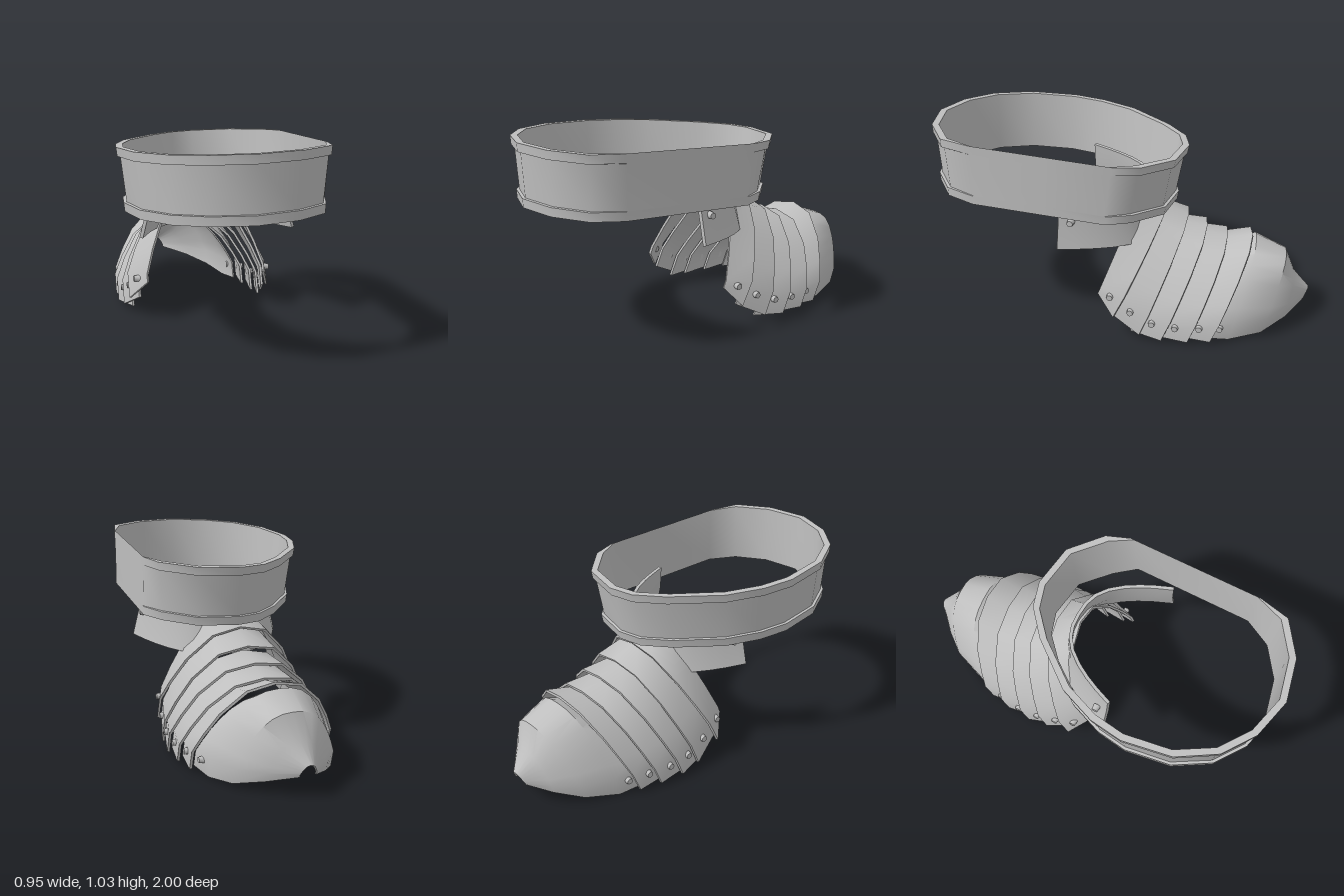
import * as THREE from 'three';
import { toCreasedNormals } from 'three/addons/utils/BufferGeometryUtils.js';

const steel = new THREE.MeshStandardMaterial({ color: 0xbfbfbf });
steel.name = 'steel';

// Faces for a grid of points; optionally closed in both directions
function gridIndex(rows, cols, closed) {
  const index = [];
  const r = closed ? rows : rows - 1, c = closed ? cols : cols - 1;
  for (let i = 0; i < r; i++) for (let j = 0; j < c; j++) {
    const i2 = (i + 1) % rows, j2 = (j + 1) % cols;
    const a = i * cols + j, b = i * cols + j2, d = i2 * cols + j, e = i2 * cols + j2;
    index.push(a, b, d, b, e, d);
  }
  return index;
}

function geometryFrom(points, index) {
  const g = new THREE.BufferGeometry().setFromPoints(points);
  g.setIndex(index);
  g.computeVertexNormals();
  return g;
}

function addMesh(parent, name, geometry) {
  const mesh = new THREE.Mesh(geometry, steel);
  mesh.name = name;
  parent.add(mesh);
  return mesh;
}

// Curved sheet metal: outer grid, inner grid offset by the thickness, closed edges
function sheet(rows, thickness) {
  const n = rows.length, m = rows[0].length, outer = rows.flat(), N = outer.length;
  const index = gridIndex(n, m, false);
  const normals = geometryFrom(outer, index).attributes.normal;
  const inner = outer.map((p, k) =>
    p.clone().addScaledVector(new THREE.Vector3().fromBufferAttribute(normals, k), -thickness));
  const all = [...index];
  for (let k = 0; k < index.length; k += 3) all.push(index[k] + N, index[k + 2] + N, index[k + 1] + N);
  const rim = [];
  for (let j = 0; j < m - 1; j++) rim.push(j);
  for (let i = 0; i < n - 1; i++) rim.push(i * m + m - 1);
  for (let j = m - 1; j > 0; j--) rim.push((n - 1) * m + j);
  for (let i = n - 1; i > 0; i--) rim.push(i * m);
  rim.forEach((a, k) => {
    const b = rim[(k + 1) % rim.length];
    all.push(b, a, a + N, b, a + N, b + N);
  });
  return toCreasedNormals(geometryFrom([...outer, ...inner], all), 0.75);
}

// Arched edge on straight legs: peak and foot are [z, y]; a higher power gives
// squarer shoulders, leg is the share of the height that stands upright
const edge = (cx, half, peak, foot, power, leg = 0.24) => ({ cx, half, peak, foot, power, leg });

// One point on an arched edge; |u| up to 1 is the arch, 1 to 2 runs down the leg
function archPoint({ cx, half, peak, foot, power, leg }, u) {
  const a = Math.abs(u);
  const v = a < 1 ? leg + (1 - leg) * (1 - a ** power) : leg * (2 - a);
  const side = half * Math.max(-1, Math.min(1, u));
  const z = foot[0] + (peak[0] - foot[0]) * v - 0.085 * side;
  return new THREE.Vector3(cx + side, foot[1] + (peak[1] - foot[1]) * v, z);
}
const mirrored = (steps) => [...steps.map((u) => -u).reverse(), 0, ...steps];
const coarse = mirrored([0.38, 0.7, 0.88, 1, 2]);
const fine = mirrored([0.2, 0.38, 0.55, 0.7, 0.81, 0.9, 1]);
const legged = mirrored([0.2, 0.38, 0.55, 0.7, 0.81, 0.91, 1, 2]);

// Rivet pair between the first two edges of an arched plate
function addRivets(parent, e0, e1) {
  for (const side of [-1, 1]) {
    addRivet(parent, archPoint(e0, side * 1.3).lerp(archPoint(e1, side * 1.3), 0.5), side);
  }
}
function addRivet(parent, p, side) {
  const rivet = addMesh(parent, 'rivet', toCreasedNormals(new THREE.CylinderGeometry(0.016, 0.02, 0.032, 8), 0.9));
  rivet.rotation.z = -side * Math.PI / 2;
  rivet.position.copy(p);
  rivet.position.x += side * 0.003;
}

// Tilted belt ring with raised rims, flattened on its left side
function makeRing() {
  const outline = [
    [0.05, 0.995], [-0.155, 0.945], [-0.315, 0.835], [-0.43, 0.65], [-0.475, 0.4], [-0.455, 0.23],
    [-0.385, 0.04], [-0.21, -0.19], [-0.08, -0.305], [0.05, -0.345], [0.27, -0.315], [0.43, -0.175],
    [0.56, -0.055], [0.6, 0.28], [0.56, 0.665], [0.44, 0.825], [0.27, 0.945]];
  // inset from the outline, height fraction
  const profile = [[0, 1], [0.005, 0.86], [0.02, 0.855], [0.045, 0.15], [0.03, 0.145], [0.035, 0],
    [0.065, 0], [0.035, 1]];
  const points = [];
  for (const [inset, h] of profile) for (const [px, pz] of outline) {
    const dx = px - 0.04, dz = pz - 0.33, len = Math.hypot(dx, dz);
    const x = Math.min(0.475, px - inset * dx / len);
    const z = pz - inset * dz / len + 0.02 * (1 - h);
    const top = 0.97 + 0.058 * z + 0.02 * x, bottom = 0.662 + 0.053 * z + 0.02 * x;
    points.push(new THREE.Vector3(x, bottom + (top - bottom) * h, z));
  }
  return toCreasedNormals(geometryFrom(points, gridIndex(profile.length, outline.length, true)), 0.75);
}

// Curved hanger plate: [height, half width, back z]
function makeHanger() {
  const rows = [[0.76, 0.36, -0.14], [0.64, 0.37, -0.145], [0.483, 0.41, -0.185]].map(([y, half, back]) =>
    fine.map((u) => {
      const z = 0.235 + (back - 0.235) * (1 - Math.abs(u) ** 2.7);
      const x = 0.067 + half * u;
      return new THREE.Vector3(x, y + 0.07 * z + 0.015 * x, z);
    }));
  return sheet(rows, 0.018);
}

export function createModel() {
  const model = new THREE.Group();
  model.name = 'armour';
  addMesh(model, 'beltRing', makeRing());

  const hanger = new THREE.Group();
  hanger.name = 'hanger';
  model.add(hanger);
  addMesh(hanger, 'hangerPlate', makeHanger());
  addRivet(hanger, new THREE.Vector3(0.43, 0.64, 0.175), 1);
  addRivet(hanger, new THREE.Vector3(-0.3, 0.63, 0.175), -1);

  // Overlapping lames, each from its front edge to its rear edge
  const lames = [
    [edge(0.045, 0.33, [-0.11, 0.71], [0.085, 0.215], 2.4, 0.08), edge(0.025, 0.395, [-0.245, 0.625], [0.0, 0.11], 2.5)],
    [edge(0.035, 0.355, [-0.19, 0.62], [0.02, 0.115], 2.4, 0.2), edge(0.025, 0.405, [-0.35, 0.55], [-0.14, 0.03], 2.7)],
    [edge(0.03, 0.37, [-0.29, 0.515], [-0.09, 0.03], 2.5), edge(0.02, 0.415, [-0.45, 0.49], [-0.255, 0.015], 2.7)],
    [edge(0.02, 0.375, [-0.39, 0.465], [-0.2, 0.015], 2.5), edge(0.015, 0.405, [-0.56, 0.445], [-0.39, 0.015], 2.7)],
    [edge(0.015, 0.36, [-0.5, 0.42], [-0.33, 0.015], 2.4), edge(0.01, 0.38, [-0.69, 0.465], [-0.505, 0.015], 2.5)]];
  lames.forEach(([front, rear], i) => {
    const lame = new THREE.Group();
    lame.name = 'lame' + (i + 1);
    model.add(lame);
    addMesh(lame, 'lamePlate', sheet([front, rear].map((e) => coarse.map((u) => archPoint(e, u))), 0.013));
    addRivets(lame, front, rear);
  });

  // Tail cap: half dome narrowing to a small open notch at the tip
  const capEdges = [
    edge(0.01, 0.345, [-0.61, 0.385], [-0.46, 0.012], 2.6),
    edge(0.0, 0.32, [-0.71, 0.437], [-0.595, 0.0], 2.7),
    edge(-0.005, 0.26, [-0.87, 0.375], [-0.76, 0.025], 2.6),
    edge(-0.02, 0.16, [-0.92, 0.25], [-0.88, 0.065], 2.6),
    edge(-0.04, 0.043, [-1.0, 0.163], [-0.97, 0.1], 2.4)];
  const cap = new THREE.Group();
  cap.name = 'tailCap';
  model.add(cap);
  addMesh(cap, 'capPlate', sheet(capEdges.map((e) => legged.map((u) => archPoint(e, u))), 0.008));
  addRivets(cap, capEdges[0], capEdges[1]);
  return model;
}
